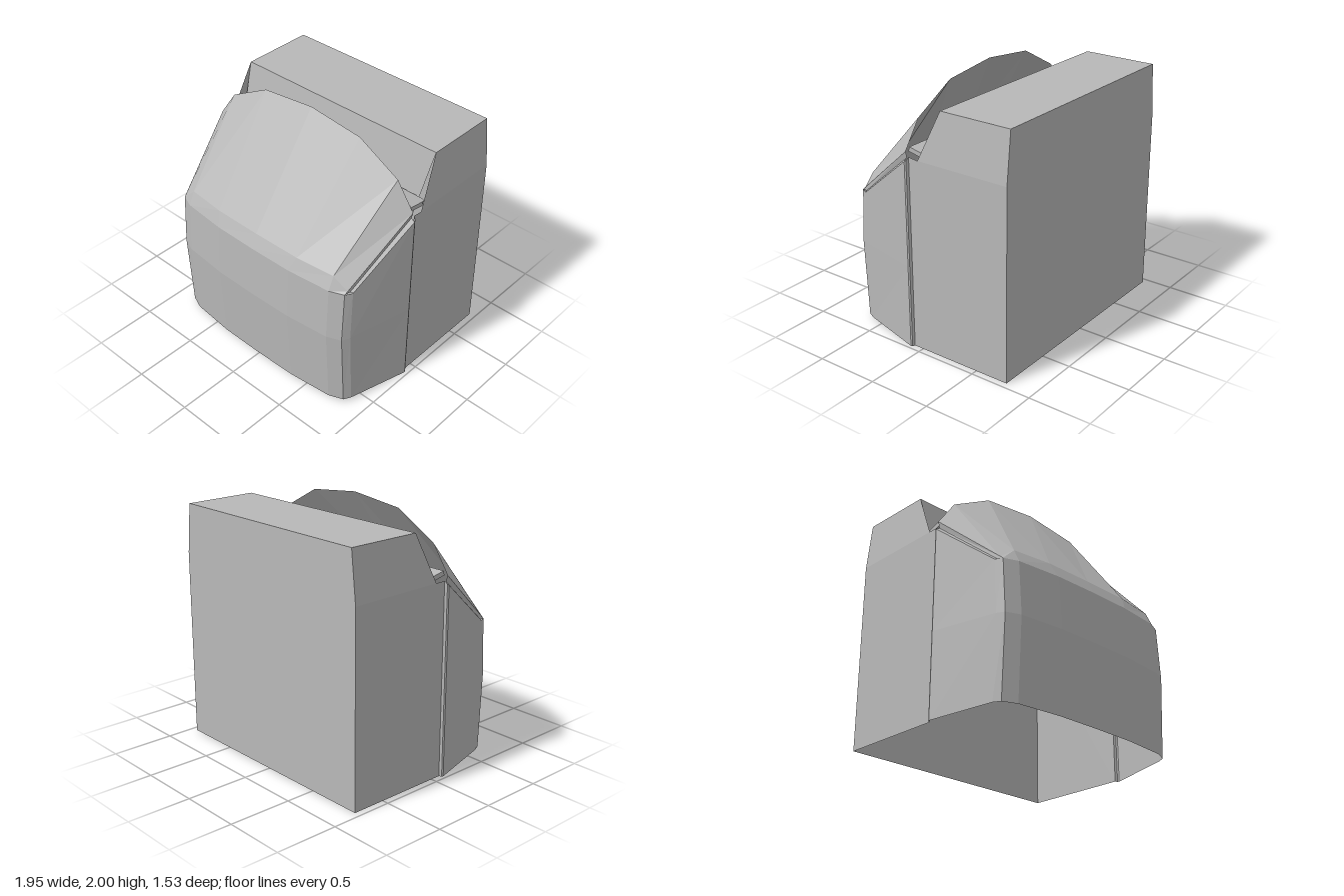
import * as THREE from 'three';

const grey = new THREE.MeshStandardMaterial({ color: 0xb8b8b8, side: THREE.DoubleSide });
grey.name = 'light grey';

// faceted mesh from a list of flat convex polygons
function facets(name, polygons) {
  const pos = [];
  for (const p of polygons)
    for (let i = 1; i < p.length - 1; i++) pos.push(...p[0], ...p[i], ...p[i + 1]);
  const g = new THREE.BufferGeometry();
  g.setAttribute('position', new THREE.Float32BufferAttribute(pos, 3));
  g.computeVertexNormals();
  const mesh = new THREE.Mesh(g, grey);
  mesh.name = name;
  return mesh;
}

// quads between successive rows of points
function grid(rows) {
  const quads = [];
  for (let i = 0; i + 1 < rows.length; i++)
    for (let j = 0; j + 1 < rows[i].length; j++)
      quads.push([rows[i][j], rows[i][j + 1], rows[i + 1][j + 1], rows[i + 1][j]]);
  return quads;
}

const flip = ([x, y, z]) => [-x, y, z];
const mirrorPolys = (polys) => polys.map((p) => p.map(flip).reverse());
// half row running from the centre outwards, completed across x = 0
const fullRow = (half) => [...half.slice(1).reverse().map(flip), ...half];

export function createModel() {
  const model = new THREE.Group();
  model.name = 'hoppedCabinet';

  // rear cabinet: hollow, open underneath
  const side = [
    [[0.95, 0, 0.08], [0.95, 0, -0.77], [0.95, 1.5, -0.77], [0.95, 1.5, 0], [0.95, 1.51, 0.08]],
    [[0.95, 1.5, 0], [0.95, 1.5, -0.77], [0.91, 1.89, -0.77], [0.91, 1.89, -0.18]],
  ];
  model.add(facets('cabinetLeftSide', side));
  model.add(facets('cabinetRightSide', mirrorPolys(side)));
  model.add(facets('cabinetBack', [
    [[0.95, 0, -0.77], [-0.95, 0, -0.77], [-0.95, 1.5, -0.77], [0.95, 1.5, -0.77]],
    [[0.95, 1.5, -0.77], [-0.95, 1.5, -0.77], [-0.91, 1.89, -0.77], [0.91, 1.89, -0.77]],
  ]));
  model.add(facets('cabinetTop', [
    [[-0.91, 1.89, -0.18], [0.91, 1.89, -0.18], [0.91, 1.89, -0.77], [-0.91, 1.89, -0.77]],
  ]));
  model.add(facets('slopingInnerPanel', [
    [[-0.94, 1.3, -0.08], [0.8, 1.3, -0.08], [0.91, 1.89, -0.18], [-0.91, 1.89, -0.18]],
  ]));

  // bulging front cover that rises into a hood leaning back
  const rows = [
    [[0, 0.025, 0.735], [0.36, 0.025, 0.73], [0.72, 0.025, 0.695], [0.83, 0.025, 0.65]],
    [[0, 0.66, 0.765], [0.36, 0.66, 0.76], [0.72, 0.66, 0.725], [0.83, 0.66, 0.68]],
    [[0, 1.08, 0.74], [0.36, 1.08, 0.735], [0.72, 1.08, 0.7], [0.83, 1.08, 0.655]],
    [[0, 1.19, 0.69], [0.4, 1.19, 0.685], [0.72, 1.185, 0.65], [0.835, 1.1, 0.63]],
    [[0, 2, 0.1], [0.46, 1.95, 0.1], [0.81, 1.76, 0.1], [0.957, 1.55, 0.1]],
  ].map(fullRow);
  model.add(facets('frontCover', grid(rows.slice(0, 3))));
  model.add(facets('hood', grid(rows.slice(2))));

  // cover sides, the recessed seam under the hood and the rear flange
  const cheek = grid([
    [[0.83, 0.025, 0.65], [0.86, 0.025, 0.595], [0.975, 0, 0.1]],
    [[0.83, 0.66, 0.68], [0.86, 0.66, 0.62], [0.975, 0.66, 0.1]],
    [[0.83, 1.08, 0.655], [0.86, 1.08, 0.6], [0.975, 1.48, 0.1]],
  ]);
  const seam = grid([
    [[0.86, 1.08, 0.6], [0.975, 1.48, 0.1]],
    [[0.84, 1.085, 0.61], [0.945, 1.5, 0.1]],
    [[0.83, 1.08, 0.655], [0.957, 1.55, 0.1]],
  ]);
  const flange = grid([
    [[0.975, 0, 0.1], [0.97, 0, 0.088], [0.95, 0, 0.08]],
    [[0.975, 1.48, 0.1], [0.97, 1.49, 0.088], [0.95, 1.51, 0.08]],
  ]);
  for (const [name, polys] of Object.entries({ CoverSide: cheek, HoodSeam: seam, CoverFlange: flange })) {
    model.add(facets('left' + name, polys));
    model.add(facets('right' + name, mirrorPolys(polys)));
  }

  // tilted control shelf behind the hood, with a stepped rear edge
  const shelf = new THREE.Group();
  shelf.name = 'controlShelf';
  const s = new THREE.Shape();
  s.moveTo(-0.93, -0.1);
  s.lineTo(-0.92, 0.07);
  s.quadraticCurveTo(-0.92, 0.115, -0.87, 0.115);
  s.lineTo(0.16, 0.115);
  s.lineTo(0.2, 0.085);
  s.lineTo(0.87, 0.085);
  s.quadraticCurveTo(0.92, 0.085, 0.92, 0.03);
  s.lineTo(0.93, -0.1);
  const slab = new THREE.Mesh(
    new THREE.ExtrudeGeometry(s, { depth: 0.035, bevelEnabled: false, curveSegments: 4 }), grey);
  slab.name = 'shelfPlate';
  slab.rotation.x = -Math.PI / 2;
  shelf.add(slab);
  for (const [x, r] of [[-0.81, 0.048], [-0.65, 0.096], [-0.39, 0.096], [-0.23, 0.048]]) {
    const knob = new THREE.Mesh(new THREE.CylinderGeometry(r, r, 0.02, 24), grey);
    knob.name = 'button';
    knob.position.set(x, 0.035, 0);
    shelf.add(knob);
  }
  shelf.rotation.x = -0.24;
  shelf.position.y = 1.52;
  model.add(shelf);

  return model;
}
